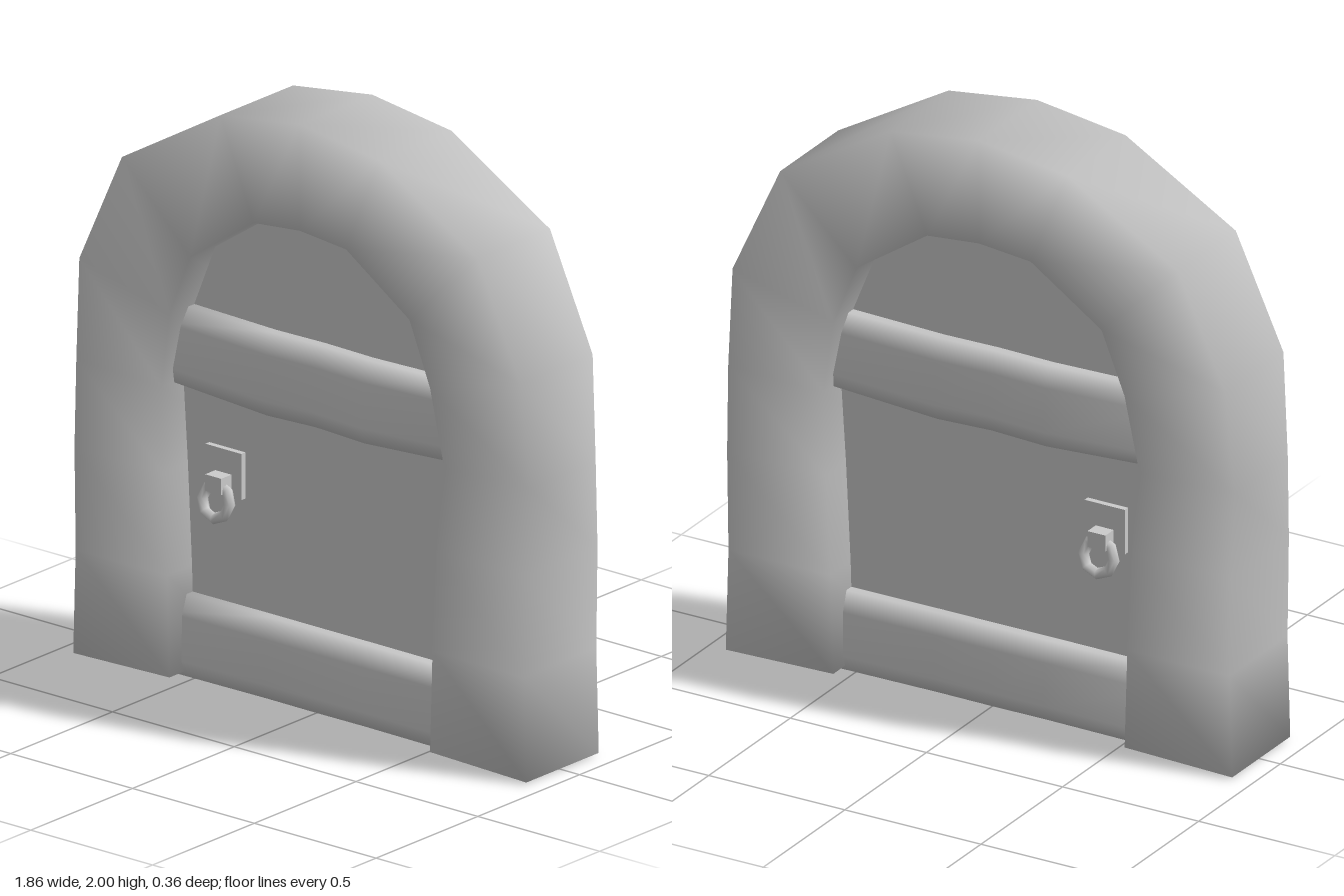
import * as THREE from 'three';

const material = new THREE.MeshStandardMaterial({ color: 0xcccccc });

function addMesh(parent, geometry, name, x = 0, y = 0, z = 0) {
  const mesh = new THREE.Mesh(geometry, material);
  mesh.name = name;
  mesh.position.set(x, y, z);
  parent.add(mesh);
  return mesh;
}

// Smooth closed skin through equal rings of points, ordered counter-clockwise about the sweep
function loft(rings) {
  const n = rings[0].length, last = (rings.length - 1) * n;
  const index = [];
  for (let i = 0; i < rings.length - 1; i++) {
    for (let j = 0; j < n; j++) {
      const a = i * n + j, b = i * n + (j + 1) % n;
      index.push(a, b, a + n, b, b + n, a + n);
    }
  }
  for (let j = 1; j < n - 1; j++) {
    index.push(0, j + 1, j, last, last + j, last + j + 1);
  }
  const geometry = new THREE.BufferGeometry();
  geometry.setAttribute('position', new THREE.Float32BufferAttribute(rings.flat(2), 3));
  geometry.setIndex(index);
  geometry.computeVertexNormals();
  return geometry;
}

// Half of the arch, foot to crown: outer x, outer y, inner x, inner y, half depth
const archHalf = [
  [0.93, 0.01, 0.535, 0.02, 0.178],
  [0.92, 0.36, 0.545, 0.36, 0.178],
  [0.925, 0.70, 0.562, 0.70, 0.178],
  [0.93, 0.99, 0.58, 0.98, 0.163],
  [0.905, 1.34, 0.535, 1.24, 0.178],
  [0.73, 1.72, 0.45, 1.45, 0.178],
  [0.325, 1.955, 0.19, 1.625, 0.178],
  [0, 2, 0, 1.643, 0.178],
];
const mirrored = archHalf.slice(0, -1).reverse()
  .map(([ox, oy, ix, iy, d]) => [-ox, oy, -ix, iy, d]);
const arch = [...archHalf, ...mirrored];

function frameGeometry() {
  return loft(arch.map(([ox, oy, ix, iy, d]) => [
    [ox, oy, d], [ox, oy, -d], [ix, iy, -d], [ix, iy, d],
  ]));
}

// Door leaf: its edge runs hidden inside the frame
function panelGeometry() {
  const outline = arch.map(([ox, oy, ix, iy]) =>
    new THREE.Vector2(ix + (ox - ix) * 0.25, iy + (oy - iy) * 0.25));
  const geometry = new THREE.ExtrudeGeometry(new THREE.Shape(outline), {
    depth: 0.11, bevelEnabled: false,
  });
  return geometry.translate(0, 0, -0.055);
}

// Cross plank, bulging on both faces, with slightly uneven edges
function plankGeometry(bottom, top, wave) {
  const columns = [[-0.62, 0], [-0.2, 1], [0, 0.7], [0.2, 1], [0.62, 0]];
  return loft(columns.map(([x, s]) => {
    const y0 = bottom - wave * s, y1 = top - wave * 0.4 * s, h = y1 - y0;
    const front = [
      [y1, 0.085], [y1 - h * 0.25, 0.11], [y0 + h * 0.2, 0.118], [y0, 0.1],
    ];
    const back = front.map(([y, z]) => [y, -z]).reverse();
    return [...front, ...back].map(([y, z]) => [x, y, z]);
  }));
}

// Back plate, staple and hanging ring
function handle() {
  const group = new THREE.Group();
  addMesh(group, new THREE.BoxGeometry(0.148, 0.155, 0.03), 'handlePlate', 0, 0.712, 0.06);
  addMesh(group, new THREE.BoxGeometry(0.066, 0.055, 0.06), 'handleStaple', 0, 0.683, 0.095);
  const ring = addMesh(group, new THREE.TorusGeometry(0.056, 0.019, 6, 8), 'handleRing', 0, 0.624, 0.11);
  ring.rotation.x = -0.2;
  return group;
}

export function createModel() {
  const model = new THREE.Group();
  model.name = 'archedDoor';
  addMesh(model, frameGeometry(), 'doorFrame');
  addMesh(model, panelGeometry(), 'doorPanel');
  addMesh(model, plankGeometry(0.98, 1.24, 0.025), 'upperPlank');
  addMesh(model, plankGeometry(0.003, 0.272, -0.003), 'lowerPlank');

  const front = handle();
  front.name = 'frontHandle';
  front.position.x = -0.4;
  const back = handle();
  back.name = 'backHandle';
  back.position.x = -0.4;
  back.rotation.y = Math.PI;
  model.add(front, back);
  return model;
}
